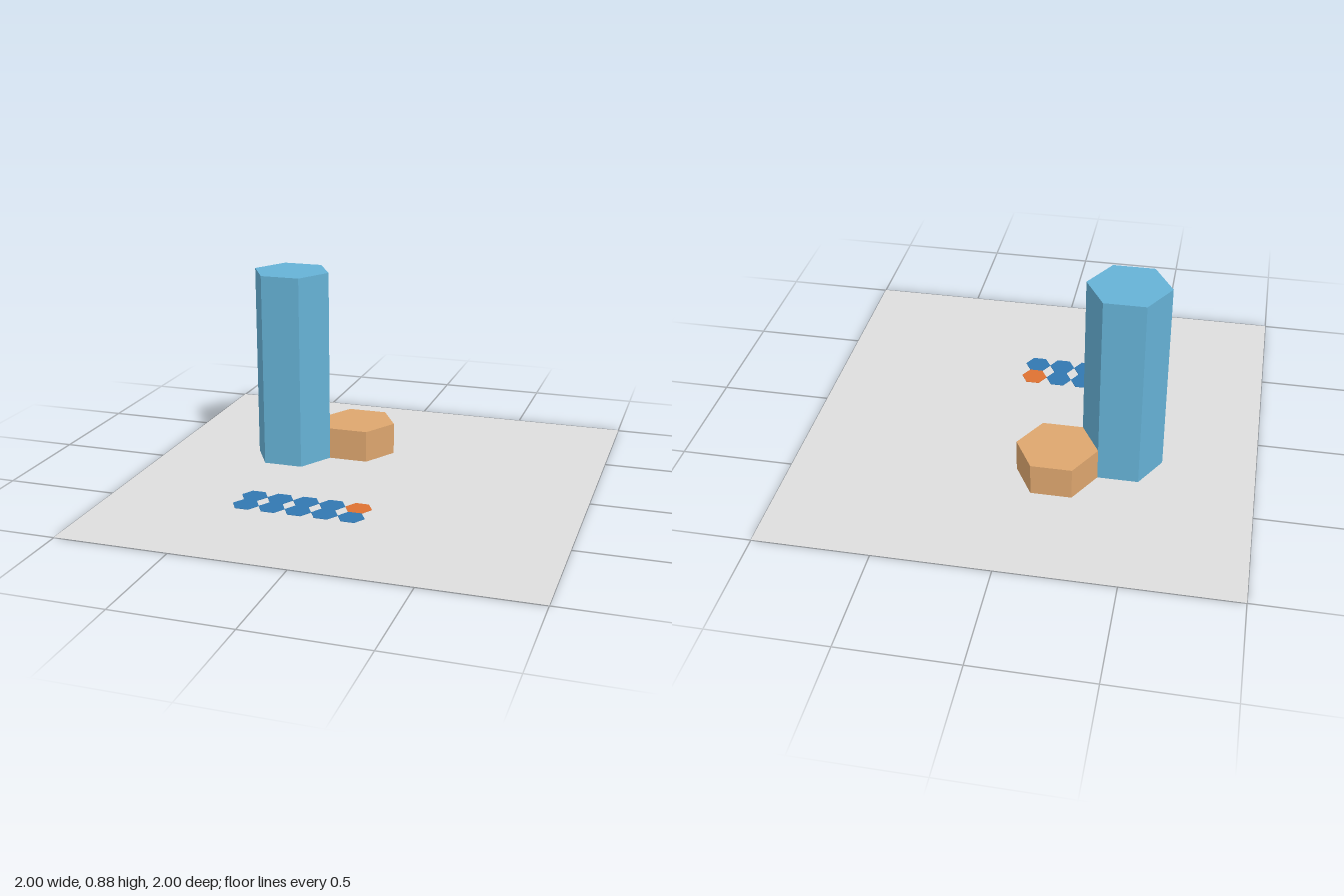
import * as THREE from 'three';

const R = 0.177;                      // large hexagon radius
const APOTHEM = R * Math.sqrt(3) / 2;

function material(name, color) {
  const m = new THREE.MeshStandardMaterial({ color, flatShading: true });
  m.name = name;
  return m;
}

// Hexagonal prism standing on y = 0, with corners pointing along x
function hexPrism(name, radius, height, x, z, mat) {
  const geometry = new THREE.CylinderGeometry(radius, radius, height, 6);
  geometry.rotateY(Math.PI / 6);
  geometry.translate(0, height / 2, 0);
  const mesh = new THREE.Mesh(geometry, mat);
  mesh.name = name;
  mesh.position.set(x, 0, z);
  return mesh;
}

export function createModel() {
  const model = new THREE.Group();
  model.name = 'hexColumnsOnBoard';

  const grey = material('light grey', 0xdddddd);
  grey.side = THREE.DoubleSide;
  const skyBlue = material('sky blue', 0x66b2d6);
  const tan = material('tan', 0xdda66e);
  const blue = material('deep blue', 0x3178b1);
  const orange = material('orange', 0xdd7131);

  // Flat square board
  const board = new THREE.Mesh(new THREE.PlaneGeometry(2, 2).rotateX(-Math.PI / 2), grey);
  board.name = 'board';
  board.position.y = 0.002;
  model.add(board);

  // Two neighbouring columns on a hexagonal grid
  const x = -0.417, z = -0.2;
  model.add(hexPrism('tallColumn', R, 0.885, x, z, skyBlue));
  model.add(hexPrism('shortColumn', R, 0.147, x + 1.5 * R, z - APOTHEM, tan));

  // Two rows of small inlaid tiles, touching at their corners; one is accented
  const tiles = new THREE.Group();
  tiles.name = 'tiles';
  const r = R / 3;
  for (let row = 0; row < 2; row++) {
    for (let col = 0; col < 5; col++) {
      const accent = row === 0 && col === 4;
      tiles.add(hexPrism(accent ? 'accentTile' : 'tile', r, 0.004,
        -0.396 + col * 2 * r, 0.349 + row * r * Math.sqrt(3), accent ? orange : blue));
    }
  }
  model.add(tiles);
  return model;
}
